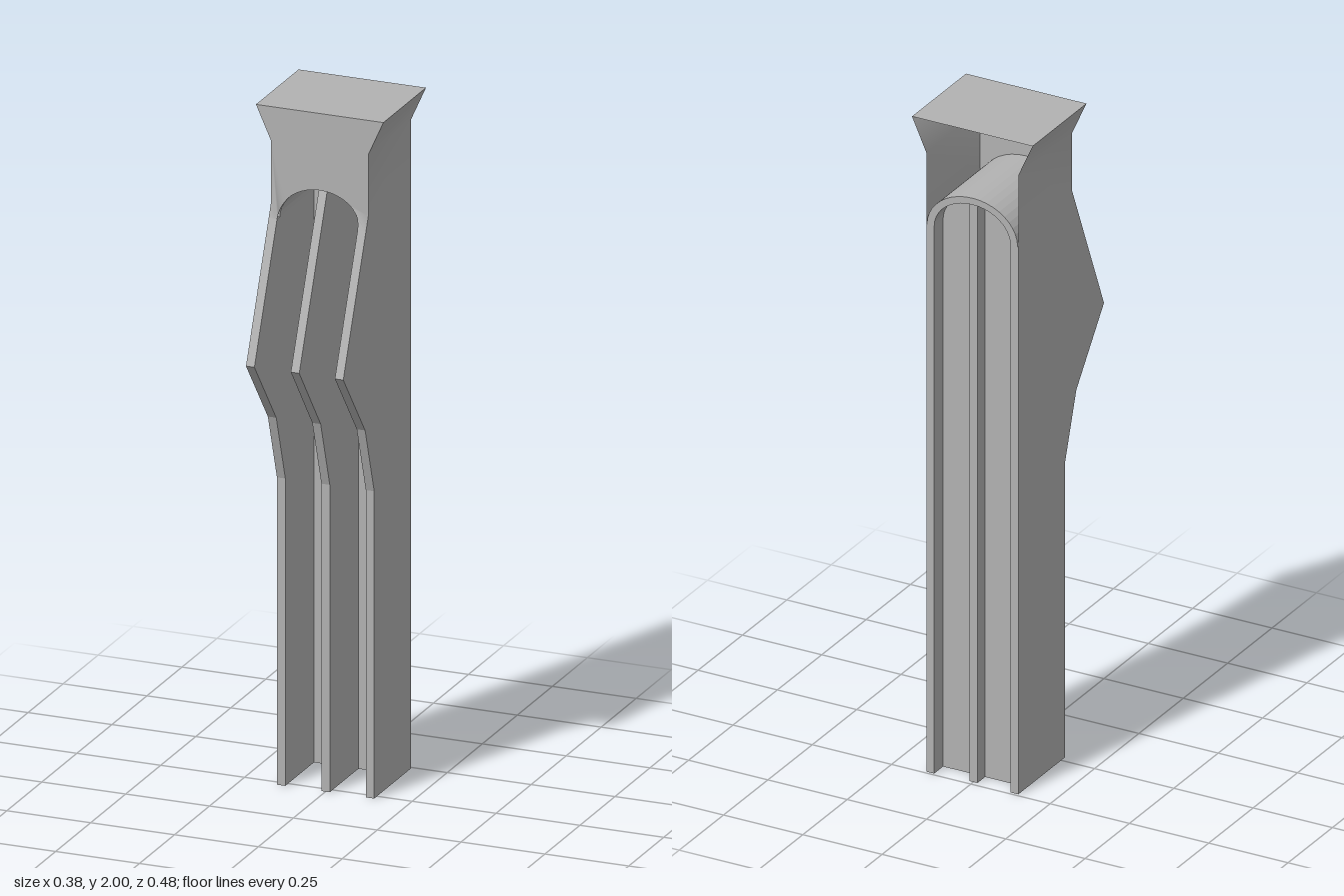
import * as THREE from 'three';

export function createModel() {
  const model = new THREE.Group();
  const grey = new THREE.MeshStandardMaterial({ color: 0xb2b2b2, side: THREE.DoubleSide });
  grey.name = 'grey';

  const BACK = -0.242, FRONT = 0.062, HALF = 0.145, OPEN = 0.12, SPRING = 1.68;
  // depth of the front surface on the upper slope
  const frontZ = (y) => (y > 1.72 ? FRONT : FRONT + (1.72 - y) * 0.426);

  function add(name, geometry) {
    const mesh = new THREE.Mesh(geometry, grey);
    mesh.name = name;
    model.add(mesh);
    return mesh;
  }

  // upright plate, profile given as [z, y], centred on x
  function fin(name, x, width, profile) {
    const shape = new THREE.Shape(profile.map(([z, y]) => new THREE.Vector2(z, y)));
    const g = new THREE.ExtrudeGeometry(shape, { depth: width, bevelEnabled: false });
    g.rotateY(-Math.PI / 2).translate(x + width / 2, 0, 0);
    add(name, g);
  }

  // half ellipse from right to left over the opening
  function arch(rx, ry, steps = 20) {
    return Array.from({ length: steps + 1 }, (_, i) => {
      const a = (i / steps) * Math.PI;
      return new THREE.Vector2(rx * Math.cos(a), SPRING + ry * Math.sin(a));
    });
  }

  // three fins with the angled nose
  const nose = [[0.02, 0], [0.02, 0.9], [0.085, 1.1]];
  for (const [name, s] of [['leftFin', 1], ['rightFin', -1]]) {
    fin(name, s * (OPEN + HALF) / 2, HALF - OPEN,
      [[BACK, 0], ...nose, [0.241, 1.3], [frontZ(SPRING), SPRING], [BACK, SPRING]]);
  }
  fin('centreFin', 0, 0.025,
    [[-0.235, 0], ...nose, [0.238, 1.3], [0.036, 1.772], [-0.235, 1.772]]);

  // recessed arched panel between the fins
  const panelShape = new THREE.Shape([
    new THREE.Vector2(-OPEN, 0), new THREE.Vector2(OPEN, 0), ...arch(OPEN, 0.095)]);
  add('backPanel', new THREE.ExtrudeGeometry(panelShape, { depth: 0.008, bevelEnabled: false })
    .translate(0, 0, -0.192));

  // vault over the opening
  const vaultShape = new THREE.Shape([...arch(OPEN, 0.095), ...arch(0.143, 0.115).reverse()]);
  add('vault', new THREE.ExtrudeGeometry(vaultShape, { depth: FRONT - BACK - 0.003, bevelEnabled: false })
    .translate(0, 0, BACK));

  // front wall with arched cut and flared top
  const wallShape = new THREE.Shape([
    ...[[HALF, SPRING], [HALF, 1.72], [HALF, 1.9], [0.19, 2], [-0.19, 2], [-HALF, 1.9],
      [-HALF, 1.72], [-HALF, SPRING]].map(([x, y]) => new THREE.Vector2(x, y)),
    ...arch(OPEN, 0.095).reverse()]);
  const wall = new THREE.ShapeGeometry(wallShape);
  const p = wall.attributes.position;
  for (let i = 0; i < p.count; i++) p.setZ(i, frontZ(p.getY(i)));
  wall.computeVertexNormals();
  add('frontWall', wall);

  // thin upper side walls, flared under the cap
  for (const [name, s] of [['leftUpperWall', 1], ['rightUpperWall', -1]]) {
    const rows = [[HALF, SPRING], [HALF, 1.72], [HALF, 1.9], [0.19, 2]];
    const verts = [], index = [];
    rows.forEach(([x, y], i) => {
      verts.push(s * x, y, frontZ(y), s * x, y, BACK);
      if (i === 0) return;
      const a = 2 * i - 2, b = a + 1, c = a + 2, d = a + 3;
      if (s > 0) index.push(a, b, d, a, d, c);
      else index.push(a, d, b, a, c, d);
    });
    const g = new THREE.BufferGeometry();
    g.setAttribute('position', new THREE.Float32BufferAttribute(verts, 3));
    g.setIndex(index);
    g.computeVertexNormals();
    add(name, g);
  }

  // flat cap
  add('cap', new THREE.PlaneGeometry(0.38, FRONT - BACK)
    .rotateX(-Math.PI / 2).translate(0, 2, (FRONT + BACK) / 2));

  return model;
}
